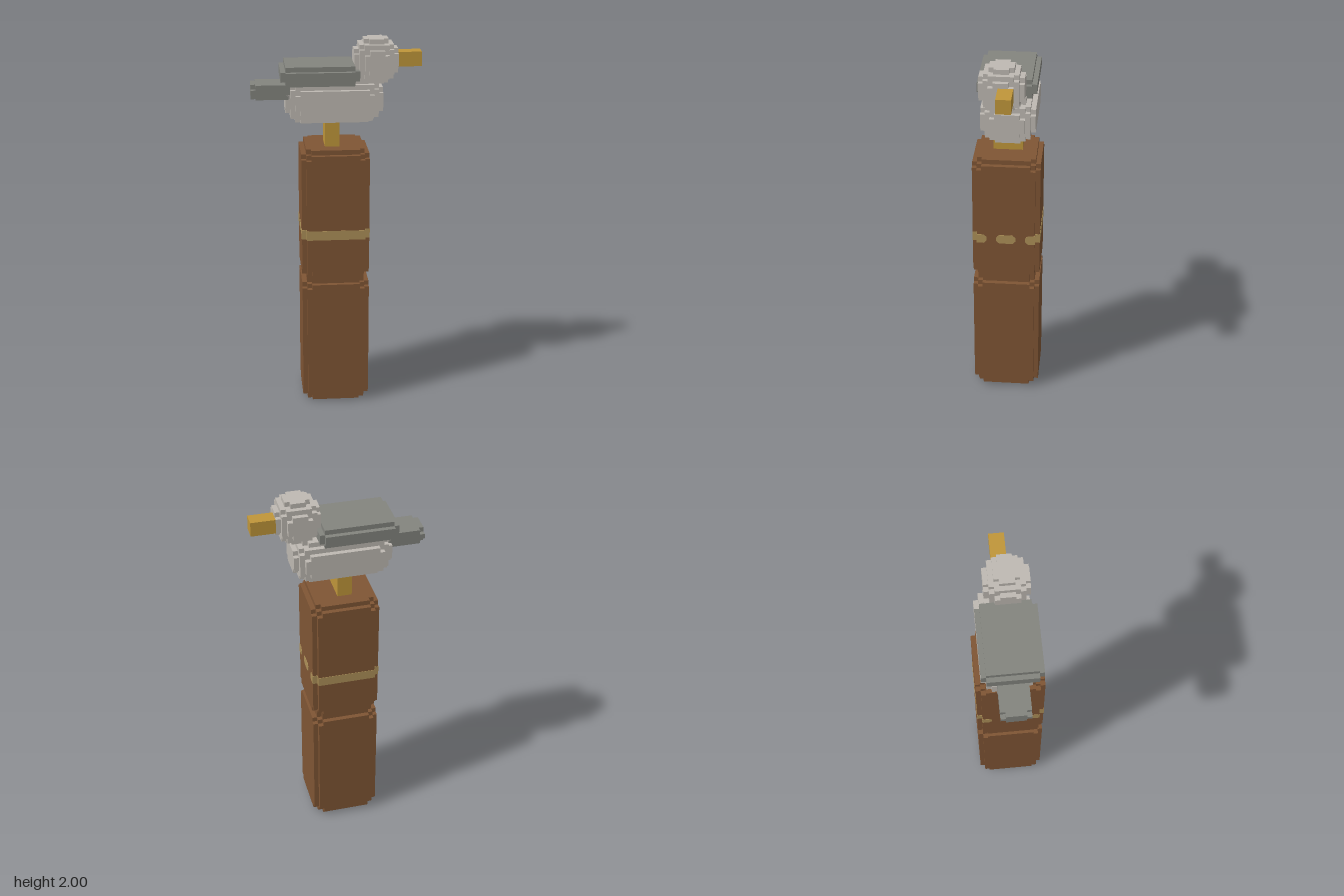
import * as THREE from 'three';

const V = 2 / 78; // edge length of one voxel

const makeMaterial = (name, color) => {
  const m = new THREE.MeshStandardMaterial({ color });
  m.name = name;
  return m;
};

// Grid lines along one axis: single voxels near both ends, one long cell between
function cuts(n, r) {
  const k = Math.ceil(r), lines = new Set();
  for (let i = 0; i <= k; i++) lines.add(i).add(n - i);
  return [...lines].sort((a, b) => a - b);
}

// Voxel block from corner lo to corner hi, its corners rounded in steps with radius r
function voxelBlock(lo, hi, r) {
  const size = hi.map((h, a) => h - lo[a]);
  const grid = size.map(n => cuts(n, r));
  const filled = cell => {
    const d = cell.map((i, a) => {
      const g = grid[a];
      if (i < 0 || i >= g.length - 1) return Infinity;
      const c = (g[i] + g[i + 1]) / 2;
      return Math.max(0, r - Math.min(c, size[a] - c));
    });
    return d.every(Number.isFinite) && Math.hypot(...d) <= r;
  };
  const pos = [], nor = [];
  const addFace = (cell, a, s) => {
    const u = (a + 1) % 3, v = (a + 2) % 3;
    const corner = (du, dv) => {
      const p = [0, 0, 0];
      p[a] = grid[a][cell[a] + (s > 0 ? 1 : 0)];
      p[u] = grid[u][cell[u] + du];
      p[v] = grid[v][cell[v] + dv];
      return p.map((c, i) => (c + lo[i]) * V);
    };
    const q = [corner(0, 0), corner(1, 0), corner(1, 1), corner(0, 1)];
    if (s < 0) q.reverse();
    const n = [0, 0, 0];
    n[a] = s;
    for (const i of [0, 1, 2, 0, 2, 3]) {
      pos.push(...q[i]);
      nor.push(...n);
    }
  };
  for (let x = 0; x < grid[0].length - 1; x++)
    for (let y = 0; y < grid[1].length - 1; y++)
      for (let z = 0; z < grid[2].length - 1; z++) {
        const cell = [x, y, z];
        if (!filled(cell)) continue;
        for (let a = 0; a < 3; a++)
          for (const s of [-1, 1]) {
            const next = [...cell];
            next[a] += s;
            if (!filled(next)) addFace(cell, a, s);
          }
      }
  const geo = new THREE.BufferGeometry();
  geo.setAttribute('position', new THREE.Float32BufferAttribute(pos, 3));
  geo.setAttribute('normal', new THREE.Float32BufferAttribute(nor, 3));
  return geo;
}

export function createModel() {
  const wood = makeMaterial('wood brown', 0x7f5534);
  const rope = makeMaterial('rope tan', 0xad9058);
  const pale = makeMaterial('pale grey plumage', 0xbeb9b2);
  const dark = makeMaterial('dark grey plumage', 0x83847e);
  const gold = makeMaterial('beak gold', 0xbf963a);

  const model = new THREE.Group();
  model.name = 'birdOnPost';
  const voxels = new THREE.Group();
  voxels.name = 'blocks';
  voxels.position.x = -17.5 * V;
  model.add(voxels);

  const add = (name, geo, mat) => {
    const mesh = new THREE.Mesh(geo, mat);
    mesh.name = name;
    voxels.add(mesh);
    return mesh;
  };

  // Post and bird: name, material, low corner, high corner, rounding (in voxels)
  const blocks = [
    ['lowerPost', wood, [10, 0, -7], [24, 28, 7], 3],
    ['upperPost', wood, [10, 28, -7], [24, 56, 7], 3],
    ['legs', gold, [15, 56, -3], [18, 61, 3], 0],
    ['body', pale, [7, 61, -6], [27, 70, 5], 4],
    ['wings', dark, [6, 69, -6], [22, 73, 6], 2],
    ['tail', dark, [0, 66, -3], [10, 69, 3], 1.5],
    ['head', pale, [21, 69, -4], [30, 78, 5], 4],
    ['beak', gold, [30, 72, -2], [35, 75, 1], 0],
  ];
  for (const [name, mat, lo, hi, r] of blocks) add(name, voxelBlock(lo, hi, r), mat);

  // Rope band: solid across front and back, wrapping into the corner notches
  const e = 0.08;
  for (const s of [-1, 1]) {
    const plate = (name, x0, x1, z0, z1) => {
      const geo = new THREE.BoxGeometry((x1 - x0) * V, 2 * V, (z1 - z0) * V);
      add(name, geo, rope).position.set((x0 + x1) / 2 * V, 38 * V, s * (z0 + z1) / 2 * V);
    };
    plate('ropeBand', 11 - e, 23 + e, 6, 7 + e);
    plate('ropeCorner', 10 - e, 11, 5.7, 6 + e);
    plate('ropeCorner', 23, 24 + e, 5.7, 6 + e);
  }

  // Rope dashes on the two side faces, with clipped ends
  const dash = (z0, z1, c0, c1) => {
    const pts = [[z0 + c0, -1], [z1 - c1, -1], [z1, -1 + c1], [z1, 1 - c1],
      [z1 - c1, 1], [z0 + c0, 1], [z0, 1 - c0], [z0, -1 + c0]];
    const shape = new THREE.Shape(pts.map(([z, y]) => new THREE.Vector2(z * V, y * V)));
    return new THREE.ExtrudeGeometry(shape, { depth: e * V, bevelEnabled: false });
  };
  for (const s of [-1, 1])
    for (const [z0, z1, c0, c1] of [[-6, -4, 0, 0.6], [-2, 2, 0.6, 0.6], [4, 6, 0.6, 0]]) {
      const mesh = add('ropeDash', dash(z0, z1, c0, c1), rope);
      mesh.rotation.y = s * Math.PI / 2;
      mesh.position.set((s > 0 ? 24 : 10) * V, 38 * V, 0);
    }
  return model;
}
